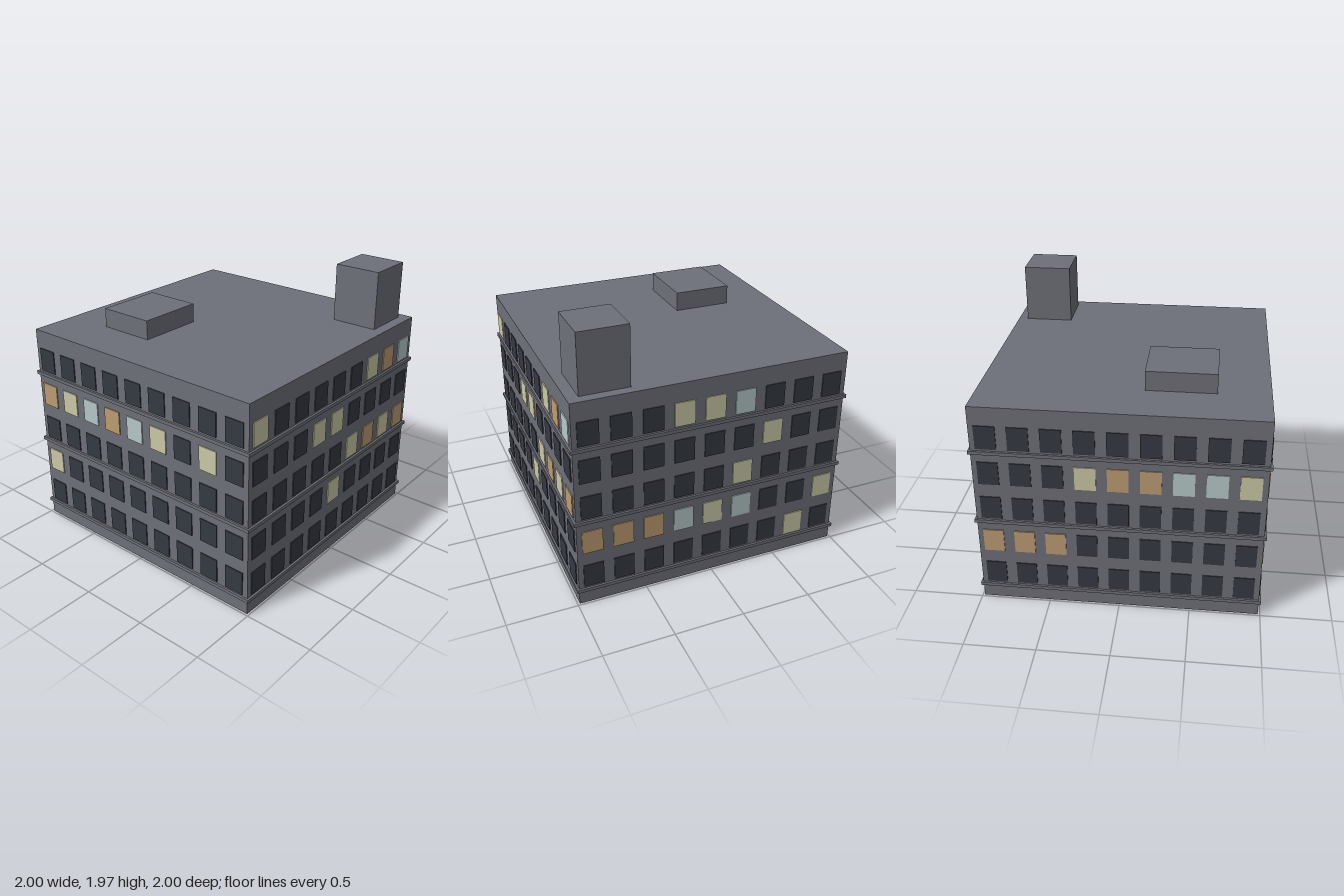
import * as THREE from 'three';

function material(name, color, side = THREE.FrontSide) {
  const m = new THREE.MeshStandardMaterial({ color, side });
  m.name = name;
  return m;
}

export function createModel() {
  const model = new THREE.Group();
  model.name = 'officeBuilding';

  const wall = material('wallGrey', 0x6d7078, THREE.DoubleSide);
  const glass = {
    '.': material('darkGlass', 0x353942),
    Y: material('yellowLight', 0xcac9a5),
    O: material('orangeLight', 0xbd9c71),
    B: material('paleBlueLight', 0xb6c9c9),
  };

  const half = 0.985, height = 1.545;

  function addBox(name, x0, x1, y0, y1, z0, z1) {
    const mesh = new THREE.Mesh(new THREE.BoxGeometry(x1 - x0, y1 - y0, z1 - z0), wall);
    mesh.position.set((x0 + x1) / 2, (y0 + y1) / 2, (z0 + z1) / 2);
    mesh.name = name;
    model.add(mesh);
    return mesh;
  }

  // Main block, open underneath (the fourth box side is the bottom)
  const block = addBox('walls', -half, half, 0, height, -half, half);
  const index = Array.from(block.geometry.index.array);
  index.splice(18, 6);
  block.geometry.setIndex(index);
  block.geometry.clearGroups();

  // Ledge slabs running through the whole building
  for (const y of [0.1, 0.648, 1.195]) addBox('ledge', -1, 1, y, y + 0.025, -1, 1);

  // Roof structures
  addBox('roofHatch', -0.63, -0.21, height, 1.685, 0.14, 0.625);
  addBox('roofTower', 0.56, 0.905, height, 1.97, -0.915, -0.565);

  // Windows per side, bottom floor first, read left to right from outside
  const sides = [
    ['frontWindows', 0, ['.........', 'Y........', '.........', 'OYBOBY.Y.', '.........']],
    ['rightWindows', Math.PI / 2, ['.........', '....Y....', '.....YOYO', '...YY....', 'Y.....YOB']],
    ['backWindows', Math.PI, ['.......Y.', 'OOOBYB..Y', '.....Y...', '......Y..', '...YYB...']],
    ['leftWindows', -Math.PI / 2, ['.........', 'OOO......', '.........', '...YOOBBY', '.........']],
  ];
  const pane = new THREE.BoxGeometry(0.144, 0.173, 0.008);
  for (const [name, angle, floors] of sides) {
    const side = new THREE.Group();
    side.name = name;
    side.rotation.y = angle;
    floors.forEach((floor, row) => {
      [...floor].forEach((kind, column) => {
        const mesh = new THREE.Mesh(pane, glass[kind]);
        mesh.name = kind === '.' ? 'darkWindow' : 'litWindow';
        mesh.position.set(-0.876 + column * 0.2187, 0.226 + row * 0.274, half + 0.003);
        side.add(mesh);
      });
    });
    model.add(side);
  }

  return model;
}
